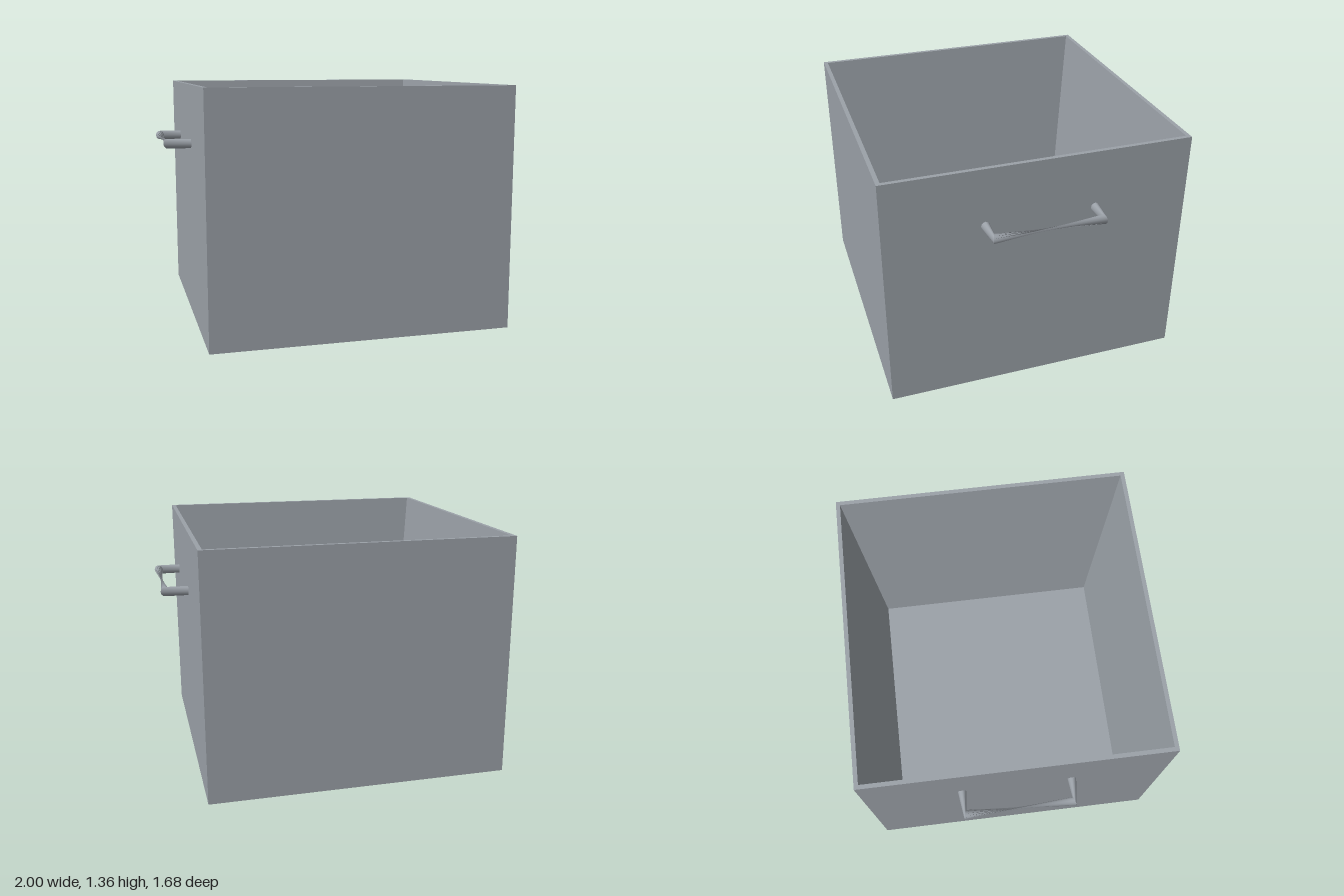
import * as THREE from 'three';

const SIDES = 12;
const steel = new THREE.MeshStandardMaterial({ color: 0x9ba1a8, side: THREE.DoubleSide });
steel.name = 'grey steel';

// Square open container: a four-sided lathe with tapered inner walls
function createContainer() {
  const profile = [[0, 0], [0.84, 0], [0.84, 1.355], [0.817, 1.355], [0.705, 0.1], [0, 0.1]]
    .map(([half, y]) => new THREE.Vector2(half * Math.SQRT2, y));
  const geometry = new THREE.LatheGeometry(profile, 4, Math.PI / 4).toNonIndexed();
  geometry.computeVertexNormals();
  const mesh = new THREE.Mesh(geometry, steel);
  mesh.name = 'container';
  return mesh;
}

// Ring of points about a centre, spanned by a horizontal half-axis and a vertical radius
function ring(x, z, ux, uz, twist = 0) {
  return Array.from({ length: SIDES }, (_, i) => {
    const a = (i / SIDES) * Math.PI * 2 + twist;
    return [x + ux * Math.cos(a), 1.033 + 0.026 * Math.sin(a), z + uz * Math.cos(a)];
  });
}

// Skin between two rings
function loft(a, b, name) {
  const indices = [];
  for (let i = 0; i < SIDES; i++) {
    const j = (i + 1) % SIDES;
    indices.push(i, SIDES + i, j, j, SIDES + i, SIDES + j);
  }
  return skin([...a, ...b], indices, name);
}

// Flat end of a post
function cap(points, flip, name) {
  const indices = [];
  for (let i = 1; i < SIDES - 1; i++) indices.push(0, flip ? i + 1 : i, flip ? i : i + 1);
  return skin(points, indices, name);
}

function skin(points, indices, name) {
  const geometry = new THREE.BufferGeometry();
  geometry.setAttribute('position', new THREE.Float32BufferAttribute(points.flat(), 3));
  geometry.setIndex(indices);
  geometry.computeVertexNormals();
  const mesh = new THREE.Mesh(geometry, steel);
  mesh.name = name;
  return mesh;
}

// Handle: two posts and a grip whose half-turn twist pinches its middle
function createHandle(name) {
  const handle = new THREE.Group();
  handle.name = name;
  const frontWall = ring(0.85, 0.302, 0, 0.024);
  const frontCorner = ring(0.976, 0.298, 0.024, 0.008);
  const backCorner = ring(0.976, -0.298, 0.024, -0.008, Math.PI);
  const backWall = ring(0.85, -0.302, 0, -0.024, Math.PI);
  handle.add(
    loft(frontWall, frontCorner, 'frontPost'),
    loft(frontCorner, backCorner, 'grip'),
    loft(backCorner, backWall, 'backPost'),
    cap(frontWall, false, 'frontPostEnd'),
    cap(backWall, true, 'backPostEnd'),
  );
  return handle;
}

export function createModel() {
  const model = new THREE.Group();
  model.name = 'handledContainer';
  const leftHandle = createHandle('leftHandle');
  const rightHandle = createHandle('rightHandle');
  rightHandle.rotation.y = Math.PI;
  model.add(createContainer(), leftHandle, rightHandle);
  return model;
}
